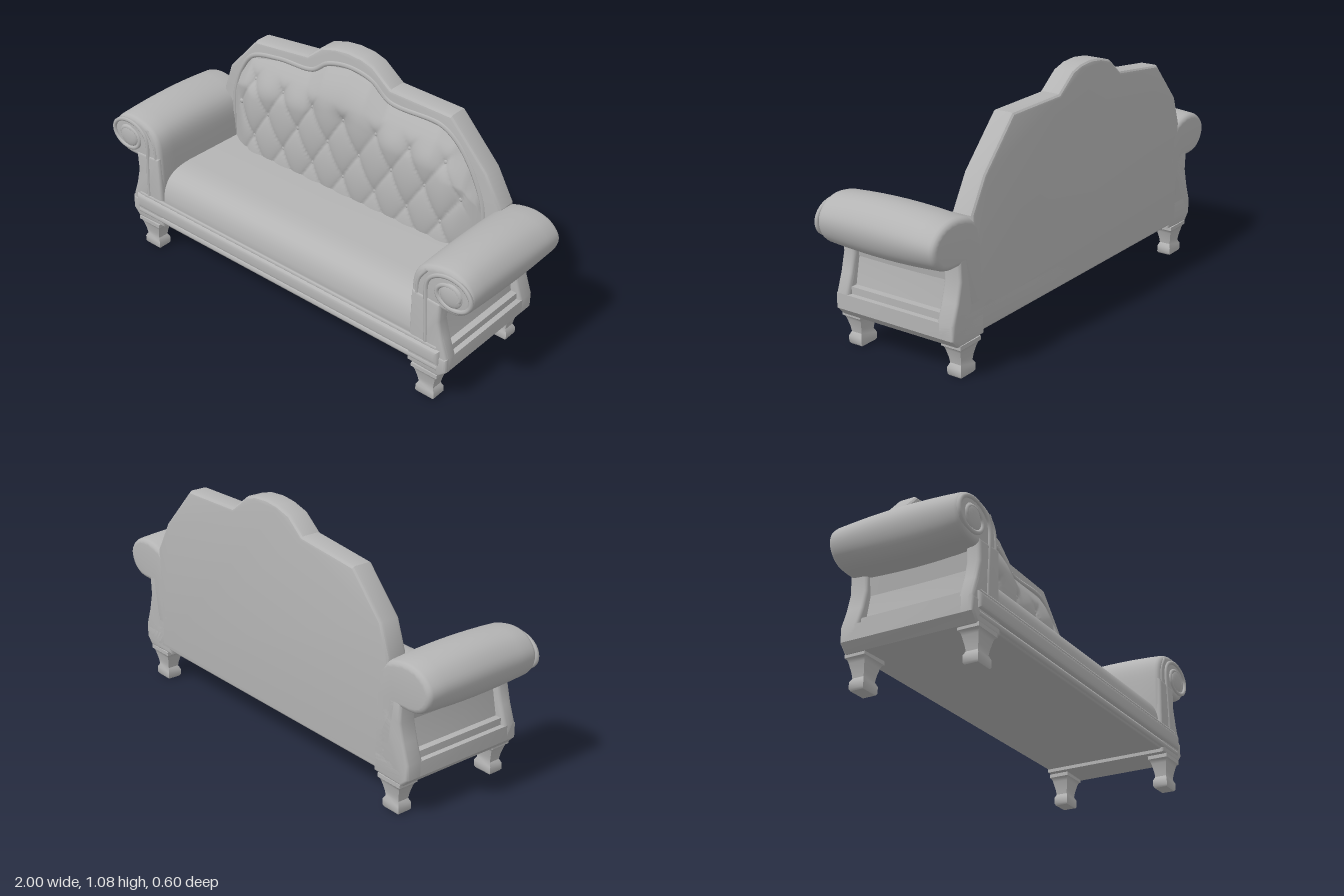
import * as THREE from 'three';
import { toCreasedNormals } from 'three/addons/utils/BufferGeometryUtils.js';

const upholstery = new THREE.MeshStandardMaterial({ color: 0xb4b4b4 });
upholstery.name = 'grey upholstery';

function add(parent, name, geometry) {
  const mesh = new THREE.Mesh(geometry, upholstery);
  mesh.name = name;
  parent.add(mesh);
  return mesh;
}
const vecs = (pts, s = 1) => pts.map(([x, y]) => new THREE.Vector2(x * s, y));

// Outline extruded from z0 to z1, with rounded edges kept inside the outline
function slab(pts, z0, z1, bevel, steps = 1) {
  const geo = new THREE.ExtrudeGeometry(new THREE.Shape(pts), {
    depth: z1 - z0 - 2 * bevel, steps, bevelEnabled: true, bevelThickness: bevel,
    bevelSize: bevel, bevelOffset: -bevel, bevelSegments: 3,
  });
  return geo.translate(0, 0, z0 + bevel);
}
const creased = (geo, angle = 0.7) => toCreasedNormals(geo, angle);

function bead(pts, z, radius, segments) {
  const path = new THREE.CatmullRomCurve3(pts.map(p => new THREE.Vector3(p.x, p.y, z)), false, 'centripetal');
  return new THREE.TubeGeometry(path, segments, radius, 6);
}

// Crest outline of the back, left to right
const crest = [[-0.77, 0.64], [-0.725, 0.77], [-0.565, 0.945], [-0.26, 0.98], [-0.18, 1.045], [-0.105, 1.067],
  [-0.035, 1.075], [0.04, 1.07], [0.1, 1.052], [0.195, 0.98], [0.505, 0.975], [0.69, 0.78], [0.77, 0.64]];
// Upper edge of the padded panel
const panelTop = [[-0.7, 0.6], [-0.69, 0.67], [-0.65, 0.78], [-0.58, 0.87], [-0.42, 0.91], [-0.23, 0.925],
  [-0.14, 0.985], [-0.02, 1.01], [0.1, 0.99], [0.195, 0.925], [0.46, 0.92], [0.54, 0.875], [0.61, 0.79],
  [0.67, 0.67], [0.69, 0.59]];
function topAt(x) {
  for (let i = 1; i < panelTop.length; i++) {
    const [x0, y0] = panelTop[i - 1], [x1, y1] = panelTop[i];
    if (x <= x1) return y0 + (y1 - y0) * Math.max(0, (x - x0) / (x1 - x0));
  }
  return panelTop[panelTop.length - 1][1];
}

// Depth of the tufted padding at a point, with grooves between the buttons
const SPACING = 0.175, ROW = 0.28, TOP_ROW = 0.78, SHIFT = -0.01;
function paddingZ(x, y) {
  const d = Math.min(topAt(x) - y, 0.7 - Math.abs(x) + 0.01);
  const bulge = Math.sin(Math.min(1, Math.max(0, d) / 0.19) * Math.PI / 2);
  const a = (x - SHIFT) / SPACING, b = (y - TOP_ROW) / ROW;
  const groove = t => 1 - Math.sqrt(Math.abs(Math.sin(Math.PI * t)));
  const fade = (1 - THREE.MathUtils.smoothstep(y, 0.77, 0.86)) * (1 - THREE.MathUtils.smoothstep(Math.abs(x), 0.58, 0.66));
  return -0.207 + 0.078 * bulge - 0.015 * fade * (groove(a + b) + groove(a - b));
}

function buildBack(group) {
  const back = new THREE.Group();
  back.name = 'backrest';
  group.add(back);
  add(back, 'backFrame', creased(slab(vecs([[-0.77, 0.165], ...crest, [0.77, 0.165]]), -0.3, -0.2, 0.018), 0.5));
  add(back, 'frameBead', bead(vecs([[-0.71, 0.4], ...panelTop, [0.7, 0.4]]), -0.203, 0.012, 120));

  // Tufted padding as a grid shaped by rule
  const pad = new THREE.PlaneGeometry(1, 1, 150, 64);
  const p = pad.attributes.position;
  for (let i = 0; i < p.count; i++) {
    const x = p.getX(i) * 1.39, v = p.getY(i) + 0.5;
    const y = 0.38 + v * (topAt(x) - 0.38);
    p.setXYZ(i, x, y, paddingZ(x, y));
  }
  pad.computeVertexNormals();
  add(back, 'tuftedPadding', pad);

  // Buttons in staggered rows
  for (let row = 0; row < 3; row++) {
    for (let i = -4; i < 4; i++) {
      const x = SHIFT + (i + (row % 2 ? 0.5 : 0)) * SPACING, y = TOP_ROW - row * ROW / 2;
      if (Math.abs(x) > 0.63) continue;
      const button = add(back, 'button', new THREE.SphereGeometry(0.012, 10, 6));
      button.scale.z = 0.6;
      button.position.set(x, y, paddingZ(x, y) + 0.004);
    }
  }
}

function buildSeat(group) {
  // Seat profile in depth and height, rolled over at the front
  const profile = new THREE.Shape();
  profile.moveTo(0.25, 0.2);
  profile.lineTo(-0.22, 0.2);
  profile.lineTo(-0.22, 0.415);
  profile.lineTo(0.1, 0.422);
  profile.bezierCurveTo(0.2, 0.42, 0.265, 0.4, 0.27, 0.27);
  const seat = new THREE.ExtrudeGeometry(profile, { depth: 1.46, bevelEnabled: false, curveSegments: 12 });
  seat.rotateY(-Math.PI / 2).translate(0.73, 0, 0);
  add(group, 'seat', creased(seat));

  const box = (x, y0, y1) => vecs([[-x, y0], [x, y0], [x, y1], [-x, y1]]);
  add(group, 'base', creased(slab(box(0.87, 0.16, 0.27), -0.3, 0.28, 0.012)));
  add(group, 'frontRail', creased(slab(box(0.86, 0.195, 0.27), 0.24, 0.3, 0.022)));
  add(group, 'lowerRail', bead(vecs([[-0.85, 0.18], [0.85, 0.18]]), 0.278, 0.016, 4));
  add(group, 'railTrim', bead(vecs([[-0.84, 0.272], [0.84, 0.272]]), 0.28, 0.01, 4));
}

function buildArm(group, s) {
  const arm = new THREE.Group();
  arm.name = s > 0 ? 'leftArm' : 'rightArm';
  group.add(arm);

  // Rolled top, slightly fuller in the middle of its length
  const curve = new THREE.SplineCurve(vecs([[0.705, 0.27], [0.7, 0.45], [0.712, 0.58], [0.765, 0.645], [0.86, 0.672],
    [0.94, 0.655], [0.99, 0.605], [1.0, 0.55], [0.975, 0.49], [0.92, 0.452], [0.83, 0.447]], s));
  const roll = slab([...curve.getPoints(44), new THREE.Vector2(0.8 * s, 0.27)], -0.3, 0.28, 0.022, 8);
  const p = roll.attributes.position;
  for (let i = 0; i < p.count; i++) {
    const z = p.getZ(i), k = 1 - 0.16 * Math.pow((z - 0.01) / 0.3, 2);
    if (p.getY(i) > 0.44) p.setY(i, 0.55 + (p.getY(i) - 0.55) * k);
    const x = p.getX(i) * s;
    if (x > 0.9) p.setX(i, s * (0.9 + (x - 0.9) * (1 - 0.12 * Math.max(0, (z + 0.1) / 0.38))));
  }
  add(arm, 'armRoll', creased(roll));

  // Posts and bottom rail frame a recessed side panel
  const foot = [[0.7, 0.145], [0.86, 0.14], [0.893, 0.175], [0.893, 0.24]];
  const post = vecs([...foot, [0.865, 0.32], [0.845, 0.4], [0.85, 0.49], [0.705, 0.5]], s);
  add(arm, 'frontPost', creased(slab(post, 0.222, 0.285, 0.015)));
  add(arm, 'backPost', creased(slab(post, -0.3, -0.22, 0.012)));
  add(arm, 'sideRail', creased(slab(vecs([...foot, [0.7, 0.24]], s), -0.3, 0.288, 0.012)));
  add(arm, 'sidePanel', creased(slab(vecs([[0.72, 0.2], [0.855, 0.2], [0.815, 0.4], [0.815, 0.48], [0.72, 0.48]], s), -0.27, 0.26, 0.005)));

  // Scroll on the arm front, running down the post as a bead
  const scroll = vecs([[0.785, 0.28], [0.783, 0.36], [0.778, 0.45]], s);
  for (let i = 0; i <= 32; i++) {
    const t = i / 32, angle = Math.PI - t * Math.PI * 4.2, r = 0.105 * (1 - t) + 0.012;
    scroll.push(new THREE.Vector2(s * (0.893 + r * Math.cos(angle)), 0.553 + 0.75 * r * Math.sin(angle)));
  }
  add(arm, 'scrollBead', bead(scroll, 0.28, 0.01, 130));
  add(arm, 'innerBead', bead(vecs([[0.735, 0.28], [0.73, 0.45], [0.737, 0.56], [0.775, 0.62]], s), 0.276, 0.009, 20));
  const boss = add(arm, 'scrollBoss', new THREE.SphereGeometry(0.055, 20, 10));
  boss.scale.z = 0.3;
  boss.position.set(0.893 * s, 0.553, 0.277);
}

function buildLegs(group) {
  // Square turned leg: half width and height, foot to top
  const profile = [[0, 0], [0.04, 0], [0.046, 0.008], [0.046, 0.035], [0.036, 0.052], [0.04, 0.075],
    [0.05, 0.11], [0.055, 0.122], [0.064, 0.128], [0.064, 0.145], [0, 0.145]];
  const leg = new THREE.LatheGeometry(vecs(profile, Math.SQRT2), 4);
  leg.rotateY(Math.PI / 4).scale(1, 1, 0.72);
  const geo = creased(leg);
  for (const x of [-0.79, 0.79]) {
    add(group, 'frontLeg', geo).position.set(x, 0, 0.245);
    add(group, 'backLeg', geo).position.set(x, 0, -0.254);
  }
}

export function createModel() {
  const sofa = new THREE.Group();
  sofa.name = 'sofa';
  buildBack(sofa);
  buildSeat(sofa);
  for (const s of [-1, 1]) buildArm(sofa, s);
  buildLegs(sofa);
  return sofa;
}
